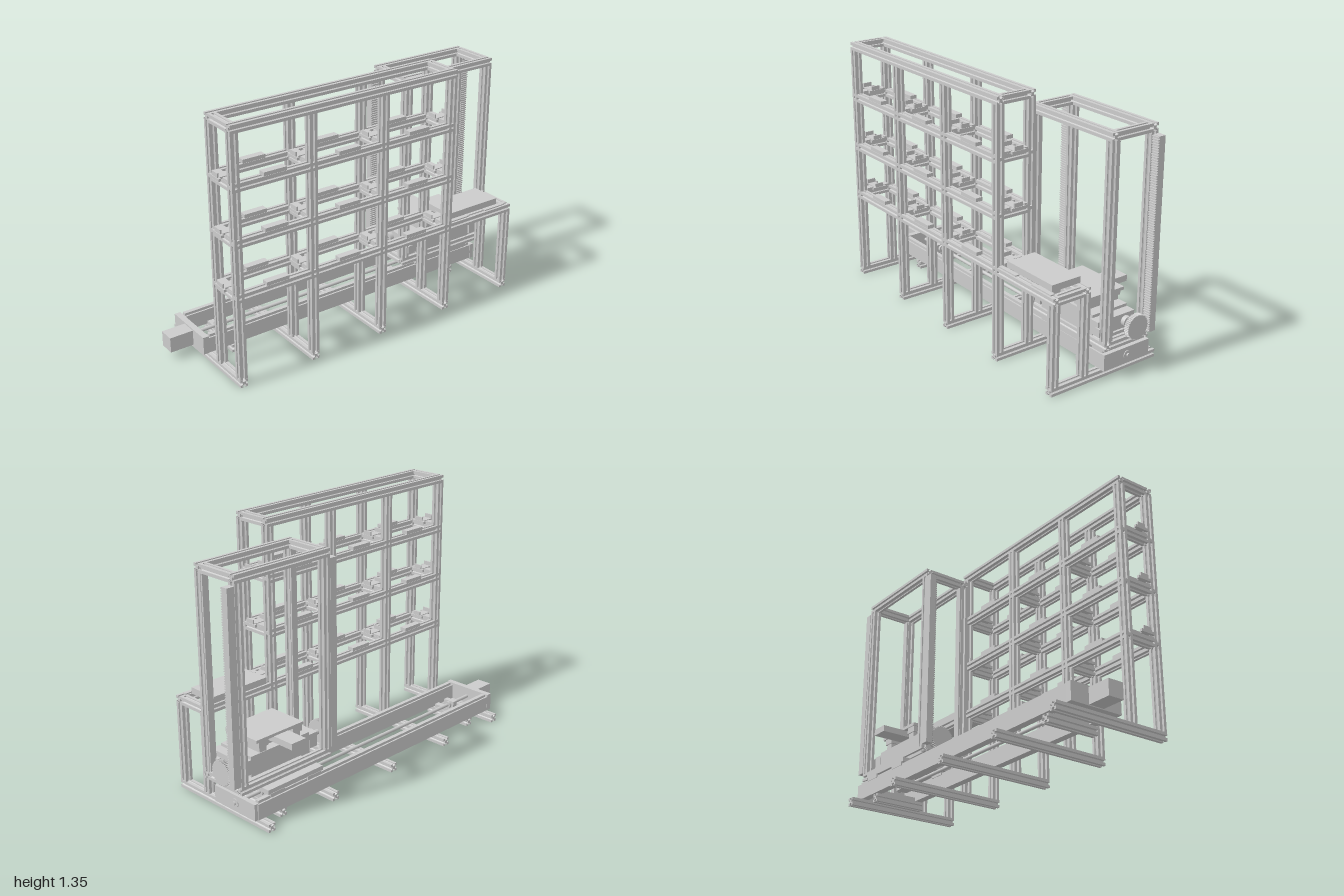
import * as THREE from 'three';
import { mergeGeometries } from 'three/addons/utils/BufferGeometryUtils.js';

const material = new THREE.MeshStandardMaterial({ color: 0xcccccc });

function add(parent, name, geometry) {
  const mesh = new THREE.Mesh(geometry, material);
  mesh.name = name;
  parent.add(mesh);
  return mesh;
}

function group(parent, name) {
  const g = new THREE.Group();
  g.name = name;
  parent.add(g);
  return g;
}

// Box given by its minimum and maximum extents
function boxGeo(x0, x1, y0, y1, z0, z1) {
  return new THREE.BoxGeometry(x1 - x0, y1 - y0, z1 - z0)
    .translate((x0 + x1) / 2, (y0 + y1) / 2, (z0 + z1) / 2);
}
const box = (parent, name, ...extents) => add(parent, name, boxGeo(...extents));

// Cylinder along x
function rod(parent, name, x0, x1, y, z, r, sides = 24) {
  const g = new THREE.CylinderGeometry(r, r, x1 - x0, sides).rotateZ(Math.PI / 2);
  return add(parent, name, g.translate((x0 + x1) / 2, y, z));
}

// T-slot profile: one quarter repeated four times
function slotProfile() {
  const quarter = [[0.008, 0.005], [0.016, 0.011], [0.016, 0.006], [0.021, 0.006], [0.021, 0.021],
    [0.006, 0.021], [0.006, 0.016], [0.011, 0.016], [0.005, 0.008]];
  const points = [];
  for (let q = 0; q < 4; q++) {
    for (const [x, y] of quarter) {
      points.push(new THREE.Vector2(x, y).rotateAround(new THREE.Vector2(), q * Math.PI / 2));
    }
  }
  return new THREE.Shape(points);
}
const profile = slotProfile();

// Slotted bar between two points along one axis
function bar(parent, name, a, b) {
  const from = new THREE.Vector3(...a), to = new THREE.Vector3(...b);
  const length = from.distanceTo(to);
  const g = new THREE.ExtrudeGeometry(profile, { depth: length, bevelEnabled: false });
  g.translate(0, 0, -length / 2);
  if (a[0] !== b[0]) g.rotateY(Math.PI / 2);
  else if (a[1] !== b[1]) g.rotateX(Math.PI / 2);
  const mid = from.add(to).multiplyScalar(0.5);
  return add(parent, name, g.translate(mid.x, mid.y, mid.z));
}

const FRONT = 0.308, REAR = 0.125;
const POSTS = [-0.825, -0.402, 0.022, 0.449];
const LEVELS = [0.485, 0.768, 1.05];
const END = 0.872;

function buildFloor(root) {
  const floor = group(root, 'floorBeams');
  for (const x of [...POSTS, END]) bar(floor, 'floorBeam', [x, 0.021, -0.33], [x, 0.021, 0.33]);
  for (const x of [-0.69, 0.735]) bar(floor, 'shortFloorBeam', [x, 0.021, -0.26], [x, 0.021, 0.03]);
}

function buildRack(root) {
  const rack = group(root, 'storageRack');
  for (const z of [FRONT, REAR]) {
    for (const x of POSTS) bar(rack, 'rackPost', [x, 0.042, z], [x, 1.312, z]);
    bar(rack, 'endPost', [END, 0.042, z], [END, 0.464, z]);
    bar(rack, 'topBeam', [-0.846, 1.333, z], [0.47, 1.333, z]);
    LEVELS.forEach((y, i) => {
      bar(rack, 'shelfBeam', [-0.846, y, z], [i === 0 ? 0.893 : 0.47, y, z]);
      // Flat rests in the middle of each bay
      for (let b = 0; b < 3; b++) {
        const x = (POSTS[b] + POSTS[b + 1]) / 2;
        box(rack, 'shelfRest', x - 0.063, x + 0.063, y + 0.021, y + 0.04, z - 0.019, z + 0.019);
      }
    });
  }
  for (const x of [POSTS[0], POSTS[3]]) {
    bar(rack, 'topCrossBar', [x, 1.333, REAR + 0.021], [x, 1.333, FRONT - 0.021]);
  }
  for (const y of LEVELS) {
    for (const x of POSTS) {
      bar(rack, 'shelfCrossBar', [x, y, REAR + 0.021], [x, y, FRONT - 0.021]);
      buildBracket(rack, x, y + 0.021);
    }
  }
  bar(rack, 'endCrossBar', [END, LEVELS[0], REAR + 0.021], [END, LEVELS[0], FRONT - 0.021]);

  // Loading tray on the low bay
  box(rack, 'loadingTray', 0.49, 0.83, 0.506, 0.54, 0.115, 0.285);
  box(rack, 'trayStop', 0.72, 0.86, 0.506, 0.512, 0.295, 0.318);
  box(rack, 'trayStop', 0.47, 0.6, 0.506, 0.512, 0.295, 0.318);
}

// H-shaped locating bracket over a shelf cross bar
function buildBracket(parent, x, y) {
  const bracket = group(parent, 'locatingBracket');
  box(bracket, 'bracketBase', x - 0.02, x + 0.02, y, y + 0.01, 0.147, 0.285);
  box(bracket, 'bracketWeb', x - 0.04, x + 0.04, y + 0.004, y + 0.014, 0.197, 0.246);
  for (const s of [-1, 1]) {
    box(bracket, 'bracketFlange', x + s * 0.043 - 0.007, x + s * 0.043 + 0.007, y, y + 0.014, 0.18, 0.262);
    box(bracket, 'bracketTab', x + s * 0.043 - 0.004, x + s * 0.043 + 0.004, y + 0.014, y + 0.036, 0.197, 0.246);
  }
}

function buildLinearAxis(root) {
  const axis = group(root, 'linearAxis');
  for (const z of [-0.247, 0.005]) {
    box(axis, 'sideBeam', -0.845, 0.9, 0.045, 0.128, z - 0.02, z + 0.02);
    box(axis, 'guideRail', -0.83, 0.89, 0.128, 0.142, z - 0.011, z + 0.011);
  }
  box(axis, 'motorPlate', -0.872, -0.84, 0.045, 0.14, -0.268, 0.026);
  box(axis, 'endPlate', 0.895, 0.918, 0.045, 0.132, -0.262, 0.028);
  box(axis, 'motor', -1, -0.872, 0.05, 0.132, -0.165, -0.08);
  rod(axis, 'leadScrew', -0.845, 0.93, 0.09, -0.121, 0.0095);
  rod(axis, 'endBearing', 0.91, 0.922, 0.09, -0.121, 0.024);
  for (const x of [-0.69, 0.735]) {
    box(axis, 'bearingFoot', x - 0.017, x + 0.017, 0.042, 0.062, -0.225, -0.022);
    box(axis, 'bearingBlock', x - 0.015, x + 0.015, 0.06, 0.113, -0.155, -0.087);
    rod(axis, 'bearingSleeve', x - 0.028, x + 0.028, 0.09, -0.121, 0.02);
  }
  // Carriage riding on the rails
  box(axis, 'carriagePlate', 0.47, 0.83, 0.15, 0.174, -0.262, 0.05);
  box(axis, 'screwNut', 0.62, 0.7, 0.07, 0.15, -0.152, -0.088);
  for (const x of [0.53, 0.77]) {
    for (const z of [-0.245, 0.007]) {
      box(axis, 'railSlider', x - 0.045, x + 0.045, 0.132, 0.152, z - 0.019, z + 0.019);
    }
  }
}

const TOWER_X = [0.387, 0.932], TOWER_Z = [-0.196, 0.04];

// Spur gear with its axle along x
function gearGeometry(r, teeth, width) {
  const points = [];
  for (let i = 0; i < teeth * 4; i++) {
    const a = i / (teeth * 4) * Math.PI * 2;
    const rr = i % 4 < 2 ? r : r - 0.004;
    points.push(new THREE.Vector2(Math.cos(a) * rr, Math.sin(a) * rr));
  }
  return new THREE.ExtrudeGeometry(new THREE.Shape(points), { depth: width, bevelEnabled: false })
    .translate(0, 0, -width / 2).rotateY(Math.PI / 2);
}

function buildTower(root) {
  const tower = group(root, 'liftTower');
  for (const x of TOWER_X) {
    for (const z of TOWER_Z) bar(tower, 'towerPost', [x, 0.217, z], [x, 1.213, z]);
    box(tower, 'postCover', x - 0.018, x + 0.018, 0.22, 1.21, 0.01, 0.02);
  }
  for (const y of [0.196, 1.234]) {
    for (const z of TOWER_Z) bar(tower, 'towerBeam', [0.366, y, z], [0.953, y, z]);
    for (const x of TOWER_X) bar(tower, 'towerCrossBar', [x, y, -0.175], [x, y, 0.019]);
  }
  // Toothed racks on the outer sides, with their pinions
  for (const x of [0.345, 0.977]) {
    const pieces = [boxGeo(x - 0.021, x + 0.021, 0.225, 1.205, -0.218, -0.182)];
    for (let i = 0; i < 80; i++) {
      const y = 0.228 + i * 0.01225;
      pieces.push(boxGeo(x - 0.021, x + 0.021, y, y + 0.006, -0.184, -0.175));
    }
    add(tower, 'gearRack', mergeGeometries(pieces));
    add(tower, 'pinion', gearGeometry(0.064, 44, 0.028)).position.set(x, 0.27, -0.112);
  }
}

function buildLift(root) {
  const lift = group(root, 'liftPlatform');
  box(lift, 'liftBody', 0.47, 0.85, 0.218, 0.325, -0.168, 0.05);
  rod(lift, 'pinionShaft', 0.35, 0.975, 0.27, -0.112, 0.013);
  for (const s of [-1, 1]) {
    const x = 0.66 + s * 0.215;
    box(lift, 'sidePlate', x - 0.027, x + 0.027, 0.235, 0.31, -0.17, 0.062);
    box(lift, 'postGuide', x + s * 0.03 - 0.015, x + s * 0.03 + 0.015, 0.24, 0.283, -0.01, 0.068);
    rod(lift, 'shaftBearing', x + s * 0.03 - 0.02, x + s * 0.03 + 0.02, 0.27, -0.112, 0.028);
    // Supports holding the fork table
    box(lift, 'forkSupport', 0.66 + s * 0.11 - 0.022, 0.66 + s * 0.11 + 0.022, 0.325, 0.37, -0.165, 0.06);
    box(lift, 'forkRail', 0.66 + s * 0.11 - 0.03, 0.66 + s * 0.11 + 0.03, 0.352, 0.388, -0.17, 0.072);
  }
  box(lift, 'forkDrive', 0.59, 0.73, 0.325, 0.362, -0.12, 0.03);
  box(lift, 'forkTable', 0.515, 0.82, 0.384, 0.4, -0.175, 0.05);
  box(lift, 'forkMotor', 0.615, 0.708, 0.353, 0.386, -0.298, -0.1);
}

export function createModel() {
  const root = new THREE.Group();
  root.name = 'automatedStorageRack';
  buildFloor(root);
  buildRack(root);
  buildLinearAxis(root);
  buildTower(root);
  buildLift(root);
  return root;
}
